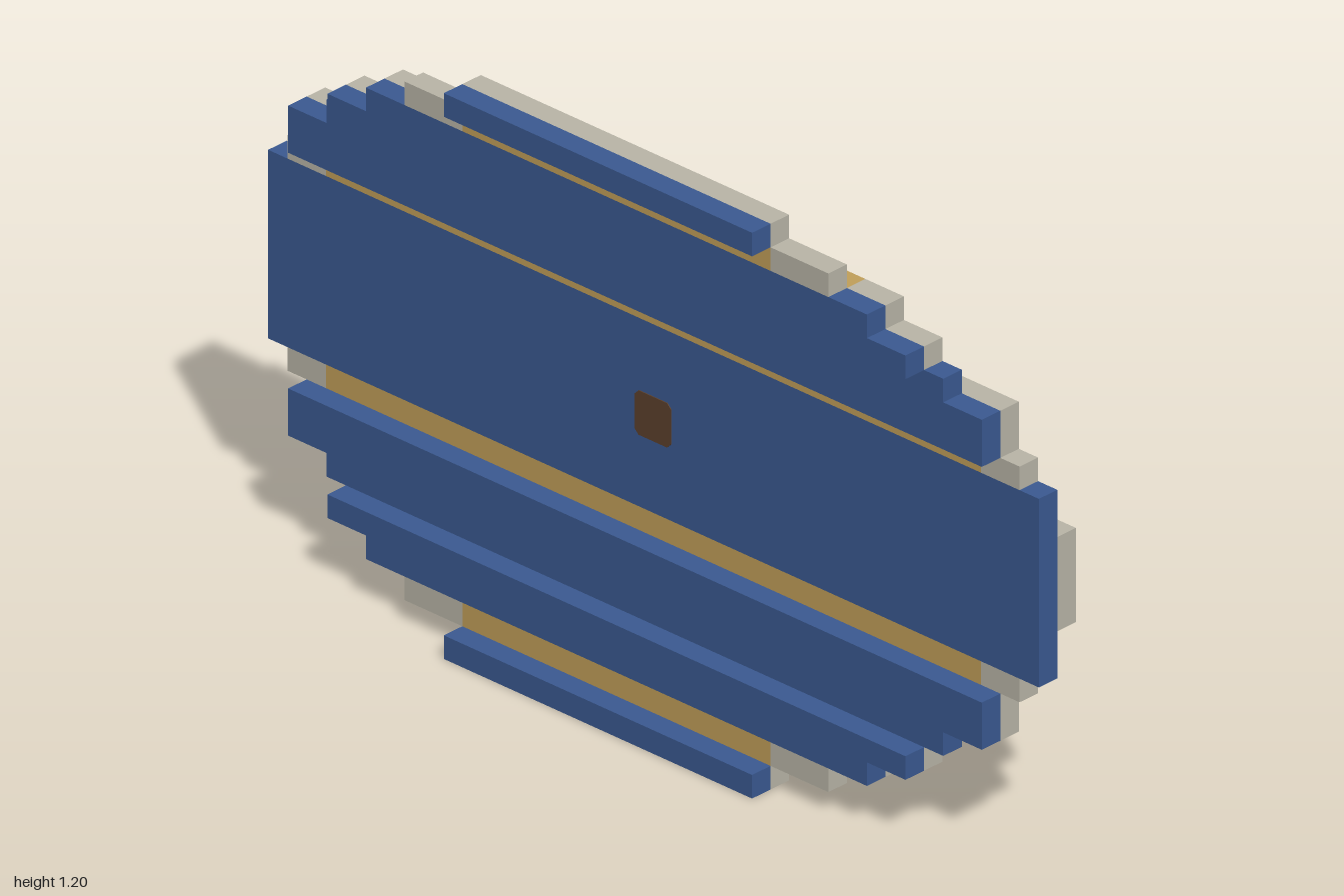
import * as THREE from 'three';

const paint = (name, color) => {
  const m = new THREE.MeshStandardMaterial({ color });
  m.name = name;
  return m;
};

export function createModel() {
  const blue = paint('blue paint', 0x3b5a92);
  const grey = paint('grey rim', 0xbab6a8);
  const wood = paint('light wood', 0xc2a05a);
  const brown = paint('dark wood', 0x5c402c);
  const model = new THREE.Group();
  model.name = 'shield';

  const U = 0.05;       // one block
  const MID = 0.6;      // height of the shield's centre line

  // Box from its limits in x and y; z is a layer number, 0 at the back to 6 at the front
  const box = (name, mat, x0, x1, y0, y1, layer, layers = 1) => {
    const d = layers * U;
    const mesh = new THREE.Mesh(new THREE.BoxGeometry(x1 - x0, y1 - y0, d), mat);
    mesh.position.set((x0 + x1) / 2, (y0 + y1) / 2, -0.175 + layer * U + d / 2);
    mesh.name = name;
    model.add(mesh);
  };
  // Row centred on x, mirrored above and below the centre line
  const rows = (name, mat, half, y0, y1, layer, layers) => {
    box(name, mat, -half, half, y0, y1, layer, layers);
    box(name, mat, -half, half, 2 * MID - y1, 2 * MID - y0, layer, layers);
  };
  const ends = (name, mat, inner, outer, y0, y1, layer) => {
    box(name, mat, inner, outer, y0, y1, layer);
    box(name, mat, -outer, -inner, y0, y1, layer);
  };

  // Painted front, stepping forward towards top and bottom
  box('frontCentre', blue, -1, 1, 0.4, 0.8, 3);
  [
    [0.9, 0.85, 0.95, 4], [0.8, 0.95, 1.0, 4],
    [0.75, 1.0, 1.05, 5], [0.65, 1.05, 1.1, 5],
    [0.4, 1.15, 1.2, 6],
  ].forEach(([half, y0, y1, layer]) => rows('frontBand', blue, half, y0, y1, layer));

  // Wooden backing rows with grey rim blocks: wood half width, full half width, bottom, layer
  [
    [0.85, 0.95, 0.8, 3], [0.8, 0.9, 0.85, 3], [0.75, 0.9, 0.9, 3],
    [0.65, 0.75, 1.0, 4], [0.55, 0.65, 1.05, 4],
    [0.4, 0.55, 1.1, 5],
  ].forEach(([inner, outer, y, layer]) => {
    rows('backing', wood, inner, y, y + U, layer);
    ends('rim', grey, inner, outer, y, y + U, layer);
    ends('rim', grey, inner, outer, 2 * MID - y - U, 2 * MID - y, layer);
  });
  rows('rimEdge', grey, 0.4, 1.15, 1.2, 5);

  // Crossbar on the back
  for (const s of [-1, 1]) {
    const [a, b] = s < 0 ? [-0.95, -0.15] : [0.15, 0.95];
    box('crossbarEdge', wood, a, b, 0.65, 0.7, 2);
    box('crossbarEdge', wood, a, b, 0.5, 0.55, 2);
    box('crossbarCore', brown, a, b, 0.55, 0.65, 2);
  }
  ends('crossbarEnd', grey, 0.95, 1, 0.5, 0.7, 2);

  // Stepped grip
  box('gripBase', brown, -0.15, 0.15, 0.5, 0.7, 2);
  box('gripBar', brown, -0.2, 0.2, 0.55, 0.65, 0, 2);
  rows('gripStep', brown, 0.15, 0.65, 0.7, 1);
  rows('gripTip', brown, 0.1, 0.65, 0.7, 0);

  // Small peg with clipped corners showing in the front
  const a = 0.047, c = 0.037;
  const outline = [[a, c], [c, a], [-c, a], [-a, c], [-a, -c], [-c, -a], [c, -a], [a, -c]];
  const peg = new THREE.Mesh(new THREE.ExtrudeGeometry(
    new THREE.Shape(outline.map(([x, y]) => new THREE.Vector2(x, y))),
    { depth: 0.004, bevelEnabled: false }), brown);
  peg.position.set(0, MID, 0.023);
  peg.name = 'frontPeg';
  model.add(peg);

  return model;
}
